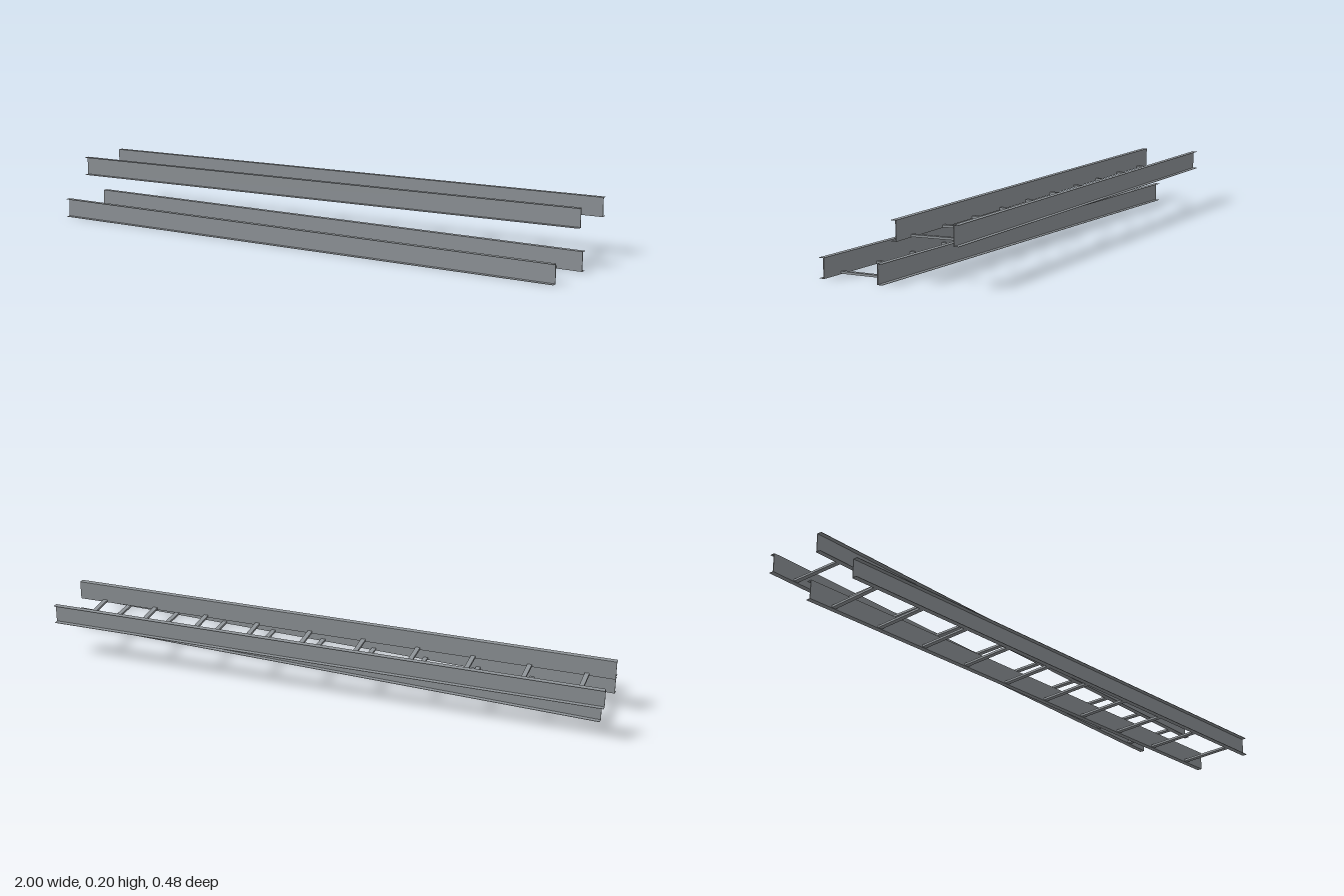
import * as THREE from 'three';

const LENGTH = 1.96, HEIGHT = 0.066, WEB_IN = 0.0975, FLANGE_END = 0.1155;
const WEB = 0.003, FLANGE = 0.0015;

// C-channel rail: upright web with flanges turned outward, running along x
function railGeometry() {
  const a = WEB_IN, b = WEB_IN + WEB, c = FLANGE_END, h = HEIGHT, t = FLANGE;
  const profile = [[a, 0], [c, 0], [c, t], [b, t], [b, h - t], [c, h - t], [c, h], [a, h]];
  const shape = new THREE.Shape(profile.map(([z, y]) => new THREE.Vector2(-z, y)));
  const geo = new THREE.ExtrudeGeometry(shape, { depth: LENGTH, bevelEnabled: false });
  geo.translate(0, 0, -LENGTH / 2);
  geo.rotateY(Math.PI / 2);
  return geo;
}

export function createModel() {
  const steel = new THREE.MeshStandardMaterial({ color: 0x8f9498 });
  steel.name = 'galvanized steel grey';
  const railGeo = railGeometry();
  const rungGeo = new THREE.BoxGeometry(0.016, 0.0075, 2 * WEB_IN);

  function ladder(name) {
    const group = new THREE.Group();
    group.name = name;
    // Two mirrored side rails
    ['frontRail', 'backRail'].forEach((railName, i) => {
      const rail = new THREE.Mesh(railGeo, steel);
      rail.name = railName;
      rail.rotation.y = i * Math.PI;
      group.add(rail);
    });
    // Ten evenly spaced rungs near the bottom of the rails
    for (let i = 0; i < 10; i++) {
      const rung = new THREE.Mesh(rungGeo, steel);
      rung.name = `rung${i + 1}`;
      rung.position.set(-0.883 + i * 0.1962, 0.0053, 0);
      group.add(rung);
    }
    return group;
  }

  const model = new THREE.Group();
  model.name = 'cableLadders';

  const lower = ladder('lowerLadder');
  lower.position.set(0.02, 0, 0.1225);

  // Upper ladder, slightly turned
  const upper = ladder('upperLadder');
  upper.position.set(-0.015, 0.1315, -0.0715);
  upper.rotation.y = THREE.MathUtils.degToRad(3);

  model.add(lower, upper);
  return model;
}
